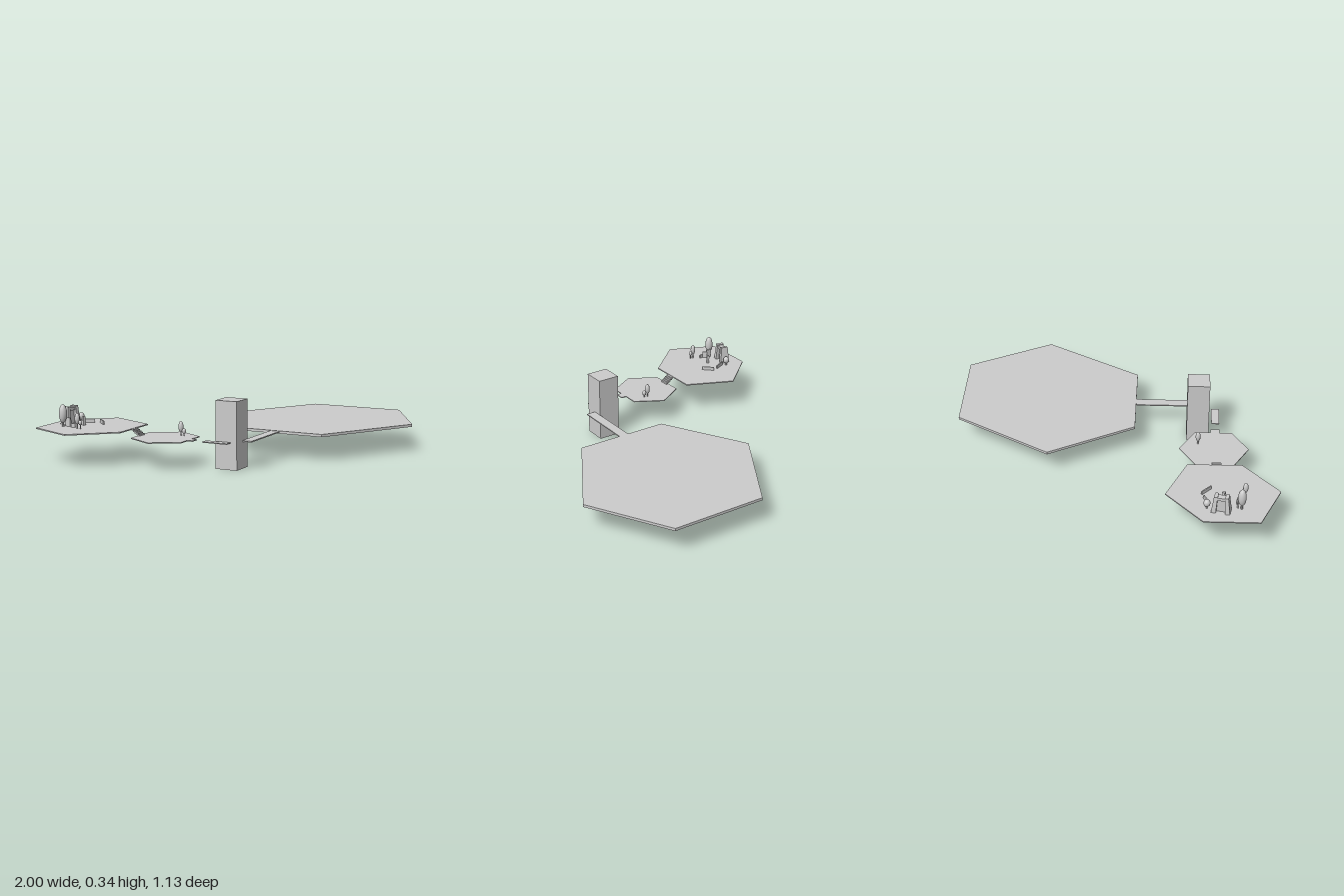
import * as THREE from 'three';

const YAW = 0.42; // shared heading of the tower, walkways and stairs

export function createModel() {
  const root = new THREE.Group();
  const flat = new THREE.MeshStandardMaterial({ color: 0xcccccc, flatShading: true });
  const smooth = new THREE.MeshStandardMaterial({ color: 0xcccccc });

  function add(parent, name, geo, x, y, z, yaw = 0, mat = flat) {
    const m = new THREE.Mesh(geo, mat);
    m.name = name;
    m.position.set(x, y, z);
    m.rotation.y = yaw;
    parent.add(m);
    return m;
  }

  // box standing on height y
  function box(parent, name, w, h, d, x, y, z, yaw = 0) {
    return add(parent, name, new THREE.BoxGeometry(w, h, d), x, y + h / 2, z, yaw);
  }

  // box whose top is scaled in
  function taperedBox(w, h, d, topX, topZ) {
    const g = new THREE.BoxGeometry(w, h, d);
    const p = g.attributes.position;
    for (let i = 0; i < p.count; i++) {
      if (p.getY(i) > 0) {
        p.setX(i, p.getX(i) * topX);
        p.setZ(i, p.getZ(i) * topZ);
      }
    }
    g.computeVertexNormals();
    return g;
  }

  // flat slab from [x, z] corners
  function slab(name, corners, bottom, top) {
    const shape = new THREE.Shape(corners.map(([x, z]) => new THREE.Vector2(x, -z)));
    const g = new THREE.ExtrudeGeometry(shape, { depth: top - bottom, bevelEnabled: false });
    g.rotateX(-Math.PI / 2);
    add(root, name, g, 0, bottom, 0);
  }

  // hexagonal platforms
  slab('largePlatform', [[-0.094, 0.035], [0.217, -0.371], [0.79, -0.302],
    [0.998, 0.168], [0.693, 0.561], [0.106, 0.491]], 0.13, 0.144);
  slab('gardenPlatform', [[-0.746, -0.567], [-0.492, -0.452], [-0.492, -0.184],
    [-0.746, -0.067], [-1, -0.184], [-1, -0.452]], 0.169, 0.175);
  slab('middlePlatform', [[-0.521, -0.131], [-0.382, -0.035], [-0.398, 0.131],
    [-0.575, 0.211], [-0.709, 0.115], [-0.693, -0.051]], 0.137, 0.142);

  // tower and walkways
  box(root, 'tower', 0.118, 0.345, 0.118, -0.337, 0, 0.311, YAW);
  box(root, 'bridge', 0.327, 0.006, 0.052, -0.15, 0.136, 0.318, YAW);
  box(root, 'landingStrip', 0.042, 0.005, 0.136, -0.436, 0.137, 0.315, YAW);
  box(root, 'landingTab', 0.048, 0.005, 0.04, -0.492, 0.137, 0.182, YAW);

  // floating stairs from the garden down to the middle platform
  const stairs = new THREE.Group();
  stairs.name = 'stairs';
  stairs.position.set(-0.617, 0, -0.096);
  stairs.rotation.y = YAW;
  root.add(stairs);
  for (let i = 0; i < 5; i++) {
    box(stairs, 'step', 0.05, 0.008, 0.012, 0, 0.167 - i * 0.0062, -0.018 + i * 0.009);
  }

  // trees: x, z, ground, crown bottom, crown top, crown radius
  const trees = [
    [-0.874, -0.393, 0.175, 0.194, 0.29, 0.021],
    [-0.853, -0.293, 0.175, 0.197, 0.255, 0.013],
    [-0.845, -0.277, 0.175, 0.194, 0.219, 0.01],
    [-0.719, -0.462, 0.175, 0.185, 0.225, 0.017],
    [-0.452, 0.047, 0.142, 0.157, 0.215, 0.013],
    [-0.447, 0.066, 0.142, 0.151, 0.18, 0.01],
  ];
  for (const [x, z, ground, lo, hi, r] of trees) {
    const tree = new THREE.Group();
    tree.name = 'tree';
    tree.position.set(x, 0, z);
    root.add(tree);
    const h = lo - ground + 0.012;
    add(tree, 'trunk', new THREE.CylinderGeometry(r * 0.2, r * 0.3, h, 8), 0, ground + h / 2, 0);
    const crown = add(tree, 'crown', new THREE.SphereGeometry(1, 16, 12), 0, (lo + hi) / 2, 0, 0, smooth);
    crown.scale.set(r, (hi - lo) / 2, r);
  }

  // gate: two tapered pillars leaning together with a lintel and back panel
  const gate = new THREE.Group();
  gate.name = 'gate';
  gate.position.set(-0.791, 0.175, -0.452);
  gate.rotation.y = 0.22;
  root.add(gate);
  for (const s of [-1, 1]) {
    const pillar = add(gate, 'gatePillar', taperedBox(0.024, 0.092, 0.052, 0.75, 0.75), s * 0.031, 0.046, 0);
    pillar.rotation.z = s * 0.09;
  }
  box(gate, 'gateLintel', 0.05, 0.016, 0.03, 0, 0.07, 0);
  box(gate, 'gatePanel', 0.044, 0.072, 0.012, 0, 0, 0);

  // low garden walls: length, height, x, z, yaw
  const walls = [
    [0.068, 0.019, -0.667, -0.345, 1.22],
    [0.064, 0.019, -0.7, -0.419, -0.71],
    [0.03, 0.045, -0.85, -0.385, -1.2],
    [0.026, 0.035, -0.846, -0.362, 1.2],
    [0.022, 0.019, -0.846, -0.342, -1.0],
  ];
  for (const [len, h, x, z, yaw] of walls) box(root, 'gardenWall', len, h, 0.006, x, 0.175, z, yaw);
  box(root, 'gardenPost', 0.014, 0.045, 0.014, -0.767, 0.175, -0.364);

  return root;
}
